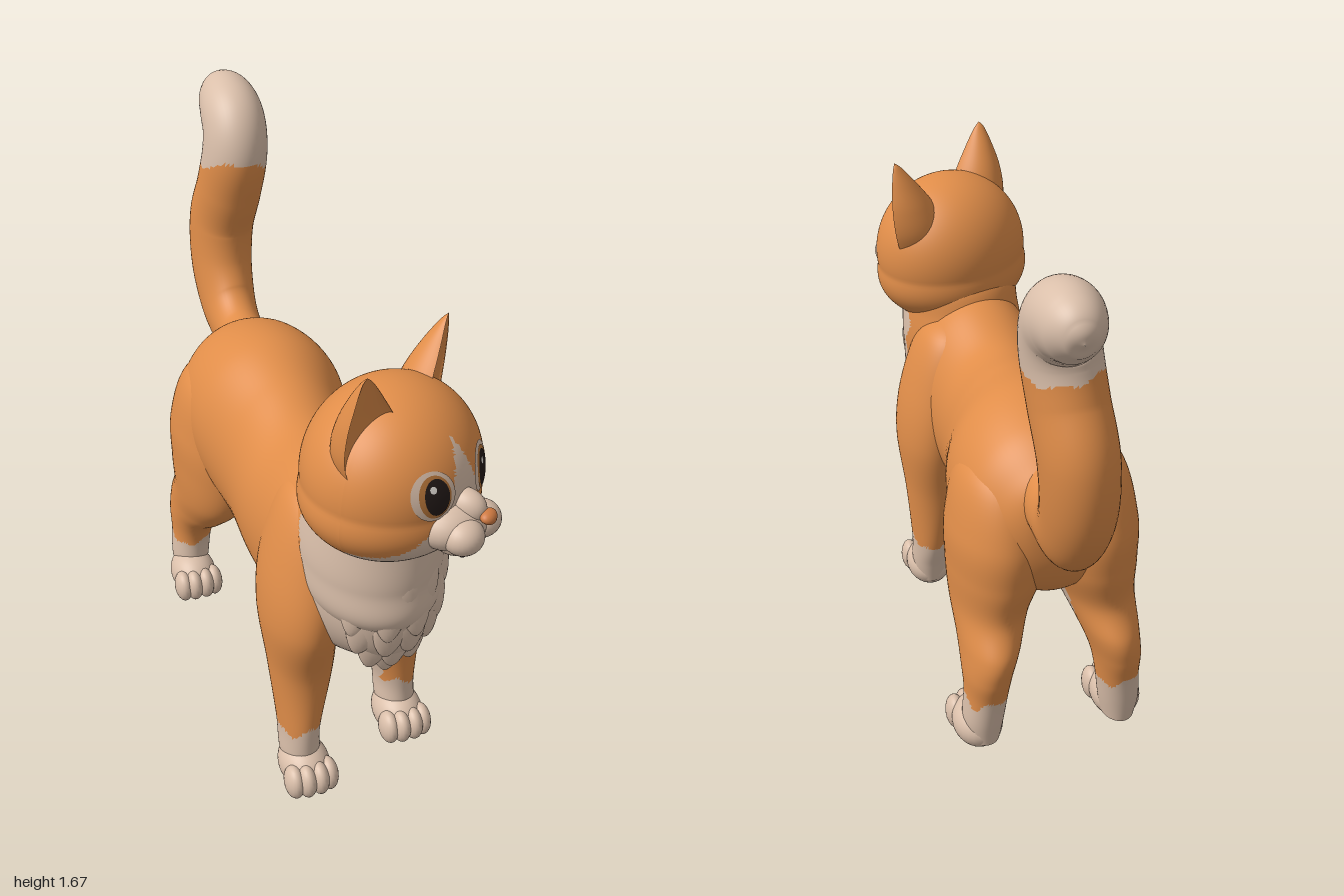
import * as THREE from 'three';

const mat = (name, color) => Object.assign(new THREE.MeshStandardMaterial({ color }), { name });
const V = (x, y, z) => new THREE.Vector3(x, y, z);

// Smooth skin through rows of [x, y, z, radiusAcross, radiusUp]; up = null bends rings with the path
function loft(rows, up, steps = 60, sides = 48, shape = v => v) {
  const centre = new THREE.CatmullRomCurve3(rows.map(r => V(r[0], r[1], r[2])), false, 'catmullrom');
  const radius = new THREE.CatmullRomCurve3(rows.map(r => V(r[3], r[4], 0)), false, 'catmullrom');
  const pos = [], index = [];
  for (let i = 0; i <= steps; i++) {
    const c = centre.getPoint(i / steps), r = radius.getPoint(i / steps), t = centre.getTangent(i / steps);
    const v = up || V(0, t.z, -t.y).normalize();
    for (let j = 0; j < sides; j++) {
      const a = j / sides * Math.PI * 2;
      const s = shape(Math.sin(a)) * Math.max(r.y, 0.0005);
      pos.push(c.x + Math.cos(a) * Math.max(r.x, 0.0005), c.y + v.y * s, c.z + v.z * s);
      if (i < steps) {
        const k = (j + 1) % sides, p = i * sides, q = p + sides;
        index.push(p + j, p + k, q + k, p + j, q + k, q + j);
      }
    }
  }
  const g = new THREE.BufferGeometry();
  g.setAttribute('position', new THREE.Float32BufferAttribute(pos, 3));
  g.setIndex(index);
  g.computeVertexNormals();
  return g;
}

// Sort faces into material groups by a rule on their centre point
function paint(g, rule, count) {
  const p = g.attributes.position, old = g.index.array;
  const lists = Array.from({ length: count }, () => []);
  for (let i = 0; i < old.length; i += 3) {
    const c = V(0, 0, 0);
    for (let k = 0; k < 3; k++) c.add(V(0, 0, 0).fromBufferAttribute(p, old[i + k]));
    c.divideScalar(3);
    lists[rule(c.x, c.y, c.z)].push(old[i], old[i + 1], old[i + 2]);
  }
  g.setIndex(lists.flat());
  let start = 0;
  lists.forEach((l, m) => { g.addGroup(start, l.length, m); start += l.length; });
  return g;
}

const ball = (x, y, z, rx, ry, rz, w = 28, h = 20) =>
  new THREE.SphereGeometry(1, w, h).scale(rx, ry, rz).translate(x, y, z);

export function createModel() {
  const orange = mat('orange fur', 0xe08d49);
  const cream = mat('cream fur', 0xdabfaa);
  const dark = mat('dark brown', 0x231a18);
  const pink = mat('nose', 0xcf7a42);
  const amber = mat('amber iris', 0xb8763a);
  const white = mat('eye shine', 0xf4efe8);
  const fur = [orange, cream, dark];
  const cat = new THREE.Group();
  cat.name = 'cat';
  const add = (parent, name, g, m) => {
    const mesh = new THREE.Mesh(g, m);
    mesh.name = name;
    parent.add(mesh);
    return mesh;
  };
  const UP = V(0, 1, 0), FRONT = V(0, 0, 1);
  const wave = t => 0.014 * Math.sin(t * 31) + 0.01 * Math.sin(t * 57 + 1);

  // Torso, rump to chest
  const torso = loft([
    [0.01, 0.78, -0.575, 0, 0], [0.01, 0.78, -0.555, 0.1, 0.13], [0, 0.76, -0.49, 0.19, 0.22],
    [0, 0.77, -0.38, 0.245, 0.27], [0, 0.77, -0.2, 0.255, 0.3], [-0.01, 0.735, 0, 0.217, 0.3],
    [-0.025, 0.715, 0.2, 0.208, 0.29], [-0.01, 0.745, 0.4, 0.222, 0.32], [0, 0.77, 0.55, 0.21, 0.31],
    [0.01, 0.765, 0.68, 0.17, 0.245], [0.02, 0.765, 0.78, 0.11, 0.165], [0.02, 0.765, 0.83, 0, 0],
  ], UP, 120, 80);
  add(cat, 'torso', paint(torso, (x, y, z) => z > 0.58 + wave(y) || y < 0.53 + wave(z) ? 1 : 0, 2), fur);

  // Neck
  const neck = loft([
    [0.02, 1.2, 0.64, 0, 0], [0.02, 1.12, 0.63, 0.17, 0.18], [0.015, 1.0, 0.605, 0.192, 0.212],
    [0.01, 0.86, 0.59, 0.2, 0.24], [0.01, 0.72, 0.58, 0.175, 0.235], [0.01, 0.58, 0.56, 0, 0],
  ], FRONT, 70, 80);
  add(cat, 'neck', paint(neck, (x, y, z) => z > 0.56 + wave(y) ? 1 : 0, 2), fur);

  // Soft chest tufts in overlapping rows, lower tips standing proud
  const chest = new THREE.Group();
  chest.name = 'chestFluff';
  cat.add(chest);
  [[0.85, 5, 0.068], [0.77, 4, 0.075], [0.69, 4, 0.062], [0.62, 3, 0.055], [0.57, 1, 0]].forEach(([y, n, gap]) => {
    for (let i = 0; i < n; i++) {
      const x = (i - (n - 1) / 2) * gap, dy = y - 0.77;
      const z = 0.81 - 4.5 * x * x - (dy < 0 ? 2.2 : 0.4) * dy * dy;
      const g = ball(0, 0, 0, 0.058, 0.088, 0.024, 20, 16);
      const p = g.attributes.position;
      for (let k = 0; k < p.count; k++) p.setX(k, p.getX(k) * (0.85 + p.getY(k) * 3.5));
      g.computeVertexNormals();
      const tuft = add(chest, 'tuft', g, cream);
      tuft.position.set(0.02 + x, y, z);
      tuft.rotation.set(dy < 0 ? 0.12 : -0.1, x * 4.5, x * 1.8);
    }
  });

  // Paw with four toes, flat dark pads underneath
  const paw = (name, cx, cz) => {
    const group = new THREE.Group();
    group.name = name;
    cat.add(group);
    const piece = (part, g) => {
      const p = g.attributes.position;
      for (let k = 0; k < p.count; k++) p.setY(k, Math.max(0, p.getY(k)));
      add(group, part, paint(g, (x, y) => y < 0.009 ? 2 : 1, 3), fur);
    };
    piece('foot', ball(cx, 0.058, cz - 0.012, 0.077, 0.074, 0.1));
    [-0.054, -0.02, 0.02, 0.054].forEach((dx, i) => {
      const mid = i % 3 ? 0.013 : 0;
      piece('toe', ball(cx + dx, 0.05 + mid * 0.4, cz + 0.052 + mid, 0.03, 0.055, 0.048, 20, 16));
    });
  };

  // Legs and paws, mirrored; the right foreleg steps forward
  for (const s of [1, -1]) {
    const side = s > 0 ? 'left' : 'right';
    const step = y => s > 0 ? 0 : 0.11 * Math.min(1, Math.max(0, (0.9 - y) / 0.7));
    const place = ([y, x, z, rx, rz], shift) => [s * x, y, z + shift, rx, rz];
    const fore = [
      [1.03, 0.08, 0.45, 0, 0], [0.96, 0.095, 0.45, 0.09, 0.13], [0.78, 0.136, 0.45, 0.116, 0.178],
      [0.6, 0.166, 0.445, 0.11, 0.178], [0.4, 0.162, 0.425, 0.095, 0.12], [0.2, 0.178, 0.425, 0.063, 0.094],
      [0.1, 0.18, 0.44, 0.06, 0.08], [0.03, 0.18, 0.45, 0.05, 0.07],
    ].map(r => place(r, step(r[0])));
    const foreRule = (x, y, z) => {
      const depth = z - step(y);
      const inner = y < 0.5 + wave(z) && Math.abs(x) < 0.15 && depth < 0.465 + wave(y) && depth > 0.36;
      return y < 0.2 + wave(x + z) || inner ? 1 : 0;
    };
    add(cat, side + 'Foreleg', paint(loft(fore, FRONT, 80, 56), foreRule, 2), fur);
    paw(side + 'Forepaw', s * 0.178, 0.487 + step(0));

    const hind = [
      [0.98, 0.1, -0.3, 0, 0], [0.89, 0.115, -0.31, 0.12, 0.17], [0.72, 0.135, -0.325, 0.148, 0.225],
      [0.58, 0.145, -0.325, 0.141, 0.222], [0.46, 0.165, -0.335, 0.115, 0.193], [0.36, 0.185, -0.405, 0.09, 0.17],
      [0.28, 0.2, -0.45, 0.075, 0.122], [0.2, 0.206, -0.46, 0.066, 0.09], [0.1, 0.215, -0.455, 0.062, 0.078],
      [0.03, 0.215, -0.45, 0.05, 0.07],
    ].map(r => place(r, 0));
    add(cat, side + 'HindLeg', paint(loft(hind, FRONT, 80, 56), (x, y, z) =>
      y < 0.19 + wave(x + z) || (y < 0.55 && y > 0.38 && z > -0.42 && Math.abs(x) < 0.095 + wave(y)) ? 1 : 0, 2), fur);
    paw(side + 'HindPaw', s * 0.225, s > 0 ? -0.41 : -0.385);
  }

  // Tail with a cream tip
  const tail = loft([
    [0.03, 0.87, -0.46, 0.08, 0.1], [0.035, 0.866, -0.6, 0.08, 0.1], [0.04, 0.915, -0.73, 0.09, 0.125],
    [0.045, 1.03, -0.812, 0.1, 0.132], [0.055, 1.18, -0.832, 0.105, 0.132], [0.07, 1.32, -0.787, 0.105, 0.124],
    [0.083, 1.44, -0.762, 0.105, 0.122], [0.092, 1.525, -0.785, 0.103, 0.116], [0.097, 1.568, -0.85, 0.098, 0.106],
    [0.1, 1.578, -0.93, 0.08, 0.088], [0.1, 1.574, -0.982, 0.045, 0.05], [0.1, 1.57, -1.0, 0, 0],
  ], null, 120, 48);
  add(cat, 'tail', paint(tail, (x, y, z) => y > 1.425 + 0.15 * (z + 0.76) + wave(x) ? 1 : 0, 2), fur);

  // Head, turned to its left and slightly tilted, fuller at the cheeks
  const head = new THREE.Group();
  head.name = 'head';
  head.position.set(0.03, 1.172, 0.668);
  head.rotation.set(0, 0.66, -0.07, 'YXZ');
  cat.add(head);
  const R = [0.262, 0.248, 0.236], mx = -0.038;
  const mask = (x, y, z) => {
    const d = Math.abs(x - mx);
    const blaze = y < 0.17 && d < 0.075 * (0.17 - y) / 0.2;
    const cheek = y < -0.03 - 0.9 * Math.max(0, d - 0.07) + wave(d) * 0.5;
    return (z > 0 && (blaze || cheek)) || (z > -0.08 && y < -0.17) ? 1 : 0;
  };
  const skull = ball(0, 0, 0, ...R, 120, 90), sp = skull.attributes.position;
  for (let k = 0; k < sp.count; k++) {
    const low = Math.min(1, Math.max(0, (-sp.getY(k) / R[1] - 0.12) / 0.88));
    const puff = 1 + 0.1 * Math.sin(Math.PI * low);
    sp.setX(k, sp.getX(k) * puff);
    sp.setZ(k, sp.getZ(k) * puff);
  }
  skull.computeVertexNormals();
  add(head, 'skull', paint(skull, mask, 2), fur);

  // Muzzle, nose and mouth
  add(head, 'muzzle', ball(mx, -0.07, 0.2, 0.115, 0.075, 0.098), cream);
  add(head, 'chin', ball(mx, -0.12, 0.22, 0.065, 0.045, 0.066), cream);
  add(head, 'noseBridge', ball(mx, -0.02, 0.235, 0.042, 0.05, 0.06), cream);
  const nose = ball(0, 0, 0, 0.03, 0.021, 0.022), np = nose.attributes.position;
  for (let k = 0; k < np.count; k++) np.setX(k, np.getX(k) * (0.85 + np.getY(k) * 14));
  add(head, 'nose', nose, pink).position.set(mx, -0.03, 0.302);
  for (const s of [1, -1]) {
    add(head, 'whiskerPad', ball(mx + s * 0.05, -0.076, 0.26, 0.058, 0.05, 0.056), cream);
    const lip = add(head, 'lipLine', new THREE.TorusGeometry(0.049, 0.004, 6, 20, 2.1), dark);
    lip.position.set(mx + s * 0.05, -0.076, 0.275);
    lip.rotation.z = Math.PI * 1.5 - 1.05;
  }

  // Eyes as thin plates following the skull
  const plate = (cx, cy, rx, ry, lift) => {
    const g = new THREE.RingGeometry(0, 1, 36, 5), p = g.attributes.position;
    for (let k = 0; k < p.count; k++) {
      const x = cx + p.getX(k) * rx, y = cy + p.getY(k) * ry;
      const z = R[2] * Math.sqrt(1 - (x / R[0]) ** 2 - (y / R[1]) ** 2);
      p.setXYZ(k, x, y, z + lift);
    }
    g.computeVertexNormals();
    return g;
  };
  for (const s of [1, -1]) {
    const x = mx + s * 0.1, y = 0.043;
    add(head, 'eyeRim', plate(x, y, 0.056, 0.067, 0.003), cream);
    add(head, 'iris', plate(x, y, 0.041, 0.058, 0.005), amber);
    add(head, 'pupil', plate(x - s * 0.002, y, 0.032, 0.05, 0.007), dark);
    add(head, 'eyeShine', plate(x - 0.009, y + 0.024, 0.008, 0.01, 0.009), white);
  }

  // Ears, hollow at the front and turned a little outward
  for (const s of [1, -1]) {
    const ear = loft([
      [s * 0.066, 0.36, 0.01, 0, 0], [s * 0.062, 0.34, 0.009, 0.02, 0.018], [s * 0.05, 0.285, 0.008, 0.05, 0.055],
      [s * 0.032, 0.21, 0.004, 0.084, 0.092], [s * 0.012, 0.13, 0, 0.103, 0.115], [s * -0.01, 0.05, 0, 0.1, 0.115],
    ], FRONT, 36, 44, v => v > 0 ? -0.25 * v : v);
    const mesh = add(head, s > 0 ? 'leftEar' : 'rightEar', ear, orange);
    mesh.position.set(s * 0.15, 0, 0.03);
    mesh.rotation.y = s * 0.25;
  }
  return cat;
}
